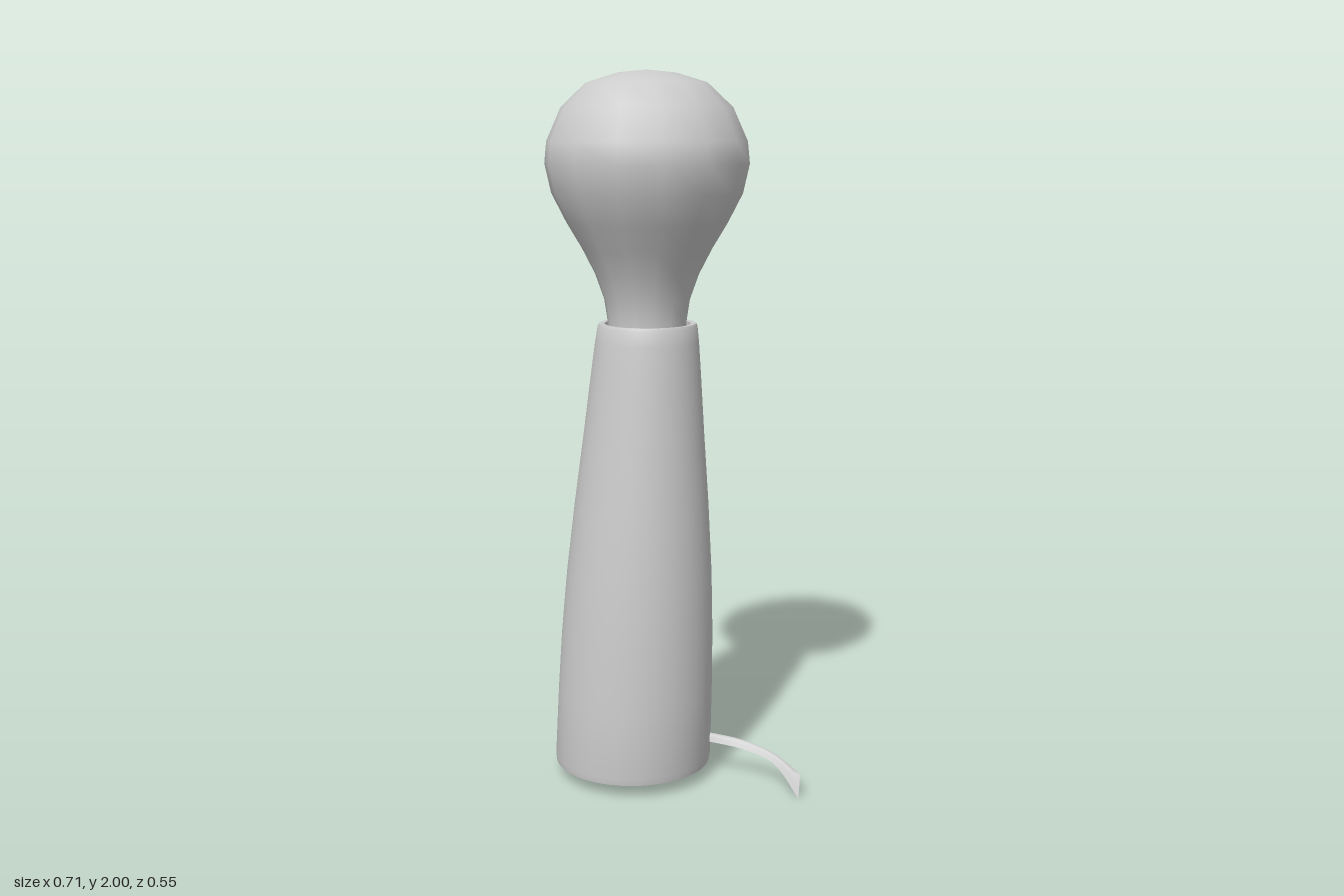
import * as THREE from 'three';
import { toCreasedNormals } from 'three/addons/utils/BufferGeometryUtils.js';

const vec2 = (pairs) => pairs.map(([r, y]) => new THREE.Vector2(r, y));
const vec3 = (list) => list.map((p) => new THREE.Vector3(...p));

export function createModel() {
  const group = new THREE.Group();
  const grey = new THREE.MeshStandardMaterial({ color: 0xcccccc });
  const thin = new THREE.MeshStandardMaterial({ color: 0xcccccc, side: THREE.DoubleSide });

  const add = (name, geometry, material = grey) => {
    const mesh = new THREE.Mesh(geometry, material);
    mesh.name = name;
    group.add(mesh);
    return mesh;
  };

  // Tapering handle: closed base, thin rim and a recess that holds the neck
  const handle = new THREE.LatheGeometry(vec2([
    [0, 0.045], [0.222, 0.04], [0.225, 0.06], [0.222, 0.25], [0.217, 0.42],
    [0.207, 0.6], [0.19, 0.8], [0.17, 1.0], [0.154, 1.17], [0.145, 1.26],
    [0.139, 1.305], [0.135, 1.313], [0.12, 1.312], [0.117, 1.25], [0, 1.25],
  ]), 48);
  // Lean the handle slightly, from the base towards the neck
  const pos = handle.attributes.position;
  for (let i = 0; i < pos.count; i++) {
    const t = (pos.getY(i) - 0.04) / 1.27;
    pos.setX(i, pos.getX(i) - 0.105 + 0.022 * t);
    pos.setZ(i, pos.getZ(i) + 0.035 - 0.04 * t);
  }
  add('handle', toCreasedNormals(handle, 0.7));

  // Coarse round head narrowing into the neck, shaded smooth
  const head = add('head', new THREE.LatheGeometry(vec2([
    [0.108, 1.25], [0.11, 1.32], [0.119, 1.38], [0.144, 1.45], [0.18, 1.52],
    [0.222, 1.59], [0.263, 1.67], [0.281, 1.75], [0.275, 1.81], [0.235, 1.9],
    [0.165, 1.966], [0.08, 1.992], [0, 2.0],
  ]), 14));
  head.position.set(-0.079, 0, 0);
  head.rotation.y = 0.2;

  // Cord stub: a thin arched strip lofted between three curved lines
  const lines = [
    [[0.05, 0.10, -0.13], [0.13, 0.085, -0.197], [0.2, 0.065, -0.232], [0.287, 0.015, -0.254]],
    [[0.05, 0.125, -0.12], [0.135, 0.112, -0.185], [0.23, 0.092, -0.222], [0.325, 0.06, -0.234]],
    [[0.06, 0.10, -0.115], [0.145, 0.09, -0.173], [0.24, 0.07, -0.208], [0.353, 0.003, -0.205]],
  ].map((l) => new THREE.CatmullRomCurve3(vec3(l)));
  const along = 12, across = 6;
  const strip = new THREE.PlaneGeometry(1, 1, across, along);
  for (let j = 0, i = 0; j <= along; j++) {
    const section = new THREE.CatmullRomCurve3(lines.map((l) => l.getPoint(j / along)));
    for (let k = 0; k <= across; k++, i++) {
      const p = section.getPoint(k / across);
      strip.attributes.position.setXYZ(i, p.x, Math.max(p.y, 0), p.z);
    }
  }
  // Turn the faces so the arched side looks up
  strip.setIndex(Array.from(strip.index.array).reverse());
  strip.computeVertexNormals();
  if (strip.attributes.normal.getY(Math.floor(across / 2)) < 0) {
    strip.setIndex(Array.from(strip.index.array).reverse());
    strip.computeVertexNormals();
  }
  add('cord', strip, thin);

  return group;
}
